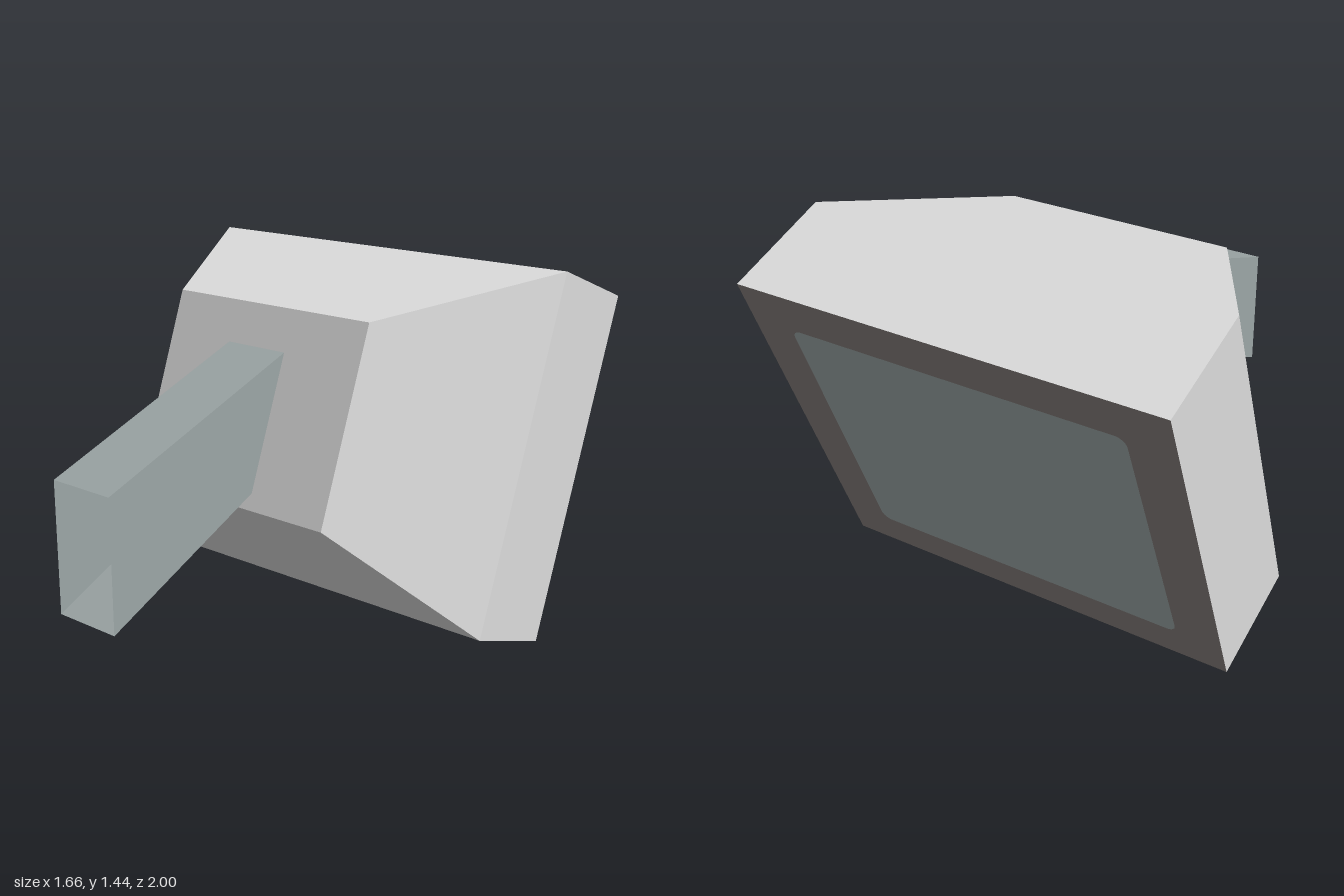
import * as THREE from 'three';

// Rectangular cross-section, counter-clockwise seen from the front; top and bottom are [y, z]
const ring = (x0, x1, top, bottom) => [
  [x0, ...bottom], [x1, ...bottom], [x1, ...top], [x0, ...top],
];

// Flat-shaded geometry from a list of four-cornered faces
function quads(faces) {
  const points = faces.flatMap(([a, b, c, d]) => [a, b, c, a, c, d]).flat();
  const geometry = new THREE.BufferGeometry();
  geometry.setAttribute('position', new THREE.Float32BufferAttribute(points, 3));
  geometry.computeVertexNormals();
  return geometry;
}

// Four walls joining a back ring to a front ring
const walls = (back, front) => back.map((p, i) => {
  const j = (i + 1) % 4;
  return [p, back[j], front[j], front[i]];
});

function roundedRectangle(w, h, r) {
  const s = new THREE.Shape();
  s.absarc(w / 2 - r, h / 2 - r, r, 0, Math.PI / 2);
  s.absarc(-w / 2 + r, h / 2 - r, r, Math.PI / 2, Math.PI);
  s.absarc(-w / 2 + r, -h / 2 + r, r, Math.PI, Math.PI * 1.5);
  s.absarc(w / 2 - r, -h / 2 + r, r, Math.PI * 1.5, Math.PI * 2);
  return s;
}

export function createModel() {
  const group = new THREE.Group();
  const casingGrey = new THREE.MeshStandardMaterial({ name: 'casingGrey', color: 0xdcdcdc });
  const blueGrey = new THREE.MeshStandardMaterial({ name: 'blueGrey', color: 0x9ca6a6 });
  const armGrey = blueGrey;
  armGrey.side = THREE.DoubleSide;
  const bezelBrown = new THREE.MeshStandardMaterial({ name: 'bezelBrown', color: 0x847e7b });

  const add = (name, geometry, material) => {
    const mesh = new THREE.Mesh(geometry, material);
    mesh.name = name;
    group.add(mesh);
    return mesh;
  };

  // Tilted casing: straight rim, then tapering towards the mount
  const rim = ring(-0.83, 0.83, [1.29, -1.0], [0, -0.53]);
  const shoulder = ring(-0.83, 0.83, [1.44, -0.59], [0.15, -0.12]);
  const mount = ring(-0.455, 0.45, [1.31, 0.08], [0.61, 0.335]);
  add('casing', quads([...walls(rim, shoulder), ...walls(shoulder, mount), mount]), casingGrey);

  // Bezel closes the rim
  add('bezel', quads([[...rim].reverse()]), bezelBrown);

  // Screen lies just proud of the bezel
  const screen = add('screen', new THREE.ShapeGeometry(roundedRectangle(1.31, 1.06, 0.04), 6), blueGrey);
  const right = new THREE.Vector3(-1, 0, 0);
  const up = new THREE.Vector3(0, 1.29, -0.47).normalize();
  const out = new THREE.Vector3().crossVectors(right, up);
  screen.quaternion.setFromRotationMatrix(new THREE.Matrix4().makeBasis(right, up, out));
  screen.position.set(0, 0.645, -0.765).addScaledVector(out, 0.004);

  // Hollow support arm, open at the front
  const armBack = ring(-0.16, 0.11, [1.16, 0.135], [0.67, 0.315]);
  const armFront = ring(-0.16, 0.11, [0.84, 1], [0.35, 1]);
  add('supportArm', quads(walls(armBack, armFront)), armGrey);

  return group;
}
